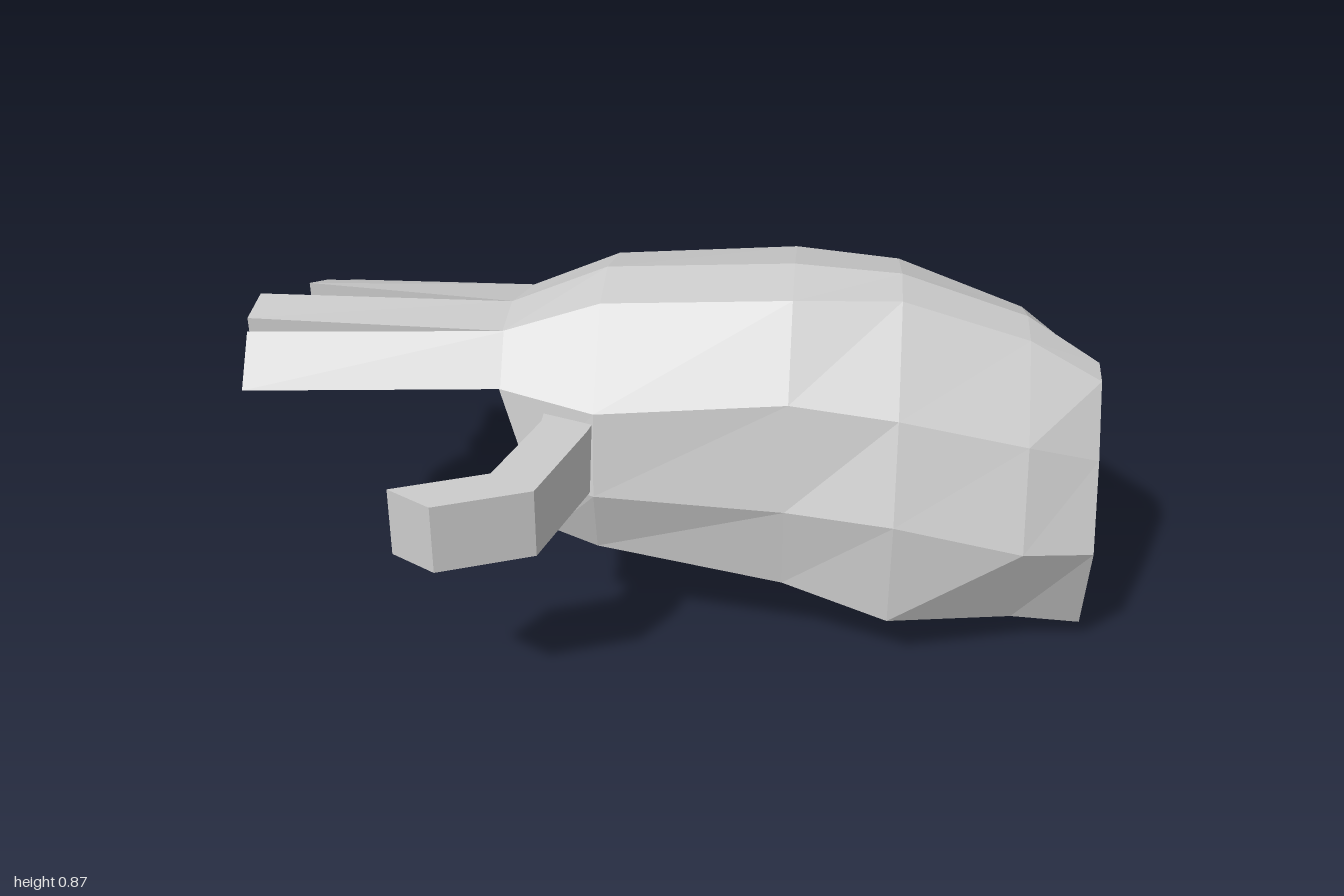
import * as THREE from 'three';

const material = new THREE.MeshStandardMaterial({ color: 0xcccccc, flatShading: true });

// Skins a list of rings of [x, y, z] points, running from -x to +x, and caps both ends.
function loft(name, rings) {
  const pos = [];
  const n = rings[0].length;
  const tri = (a, b, c) => pos.push(...a, ...b, ...c);
  const middle = (ring) => [0, 1, 2].map((k) => ring.reduce((s, p) => s + p[k], 0) / n);
  const first = rings[0];
  const last = rings[rings.length - 1];
  const c0 = middle(first);
  const c1 = middle(last);
  for (let j = 0; j < n; j++) {
    const k = (j + 1) % n;
    for (let i = 0; i + 1 < rings.length; i++) {
      const a = rings[i];
      const b = rings[i + 1];
      tri(a[j], b[j], b[k]);
      tri(a[j], b[k], a[k]);
    }
    tri(c0, first[j], first[k]);
    tri(c1, last[k], last[j]);
  }
  const geo = new THREE.BufferGeometry();
  geo.setAttribute('position', new THREE.Float32BufferAttribute(pos, 3));
  geo.computeVertexNormals();
  const mesh = new THREE.Mesh(geo, material);
  mesh.name = name;
  return mesh;
}

// Places a flat [z, y] outline at one x.
const section = (x, outline) => outline.map(([z, y]) => [x, y, z]);

// Finger from a tip outline to a root outline that is sunk into the palm.
function finger(name, tipX, tip, root) {
  return loft(name, [section(tipX, tip), section(-0.38, root), section(-0.32, root)]);
}

export function createModel() {
  const group = new THREE.Group();
  group.name = 'handAndForearm';

  // Palm and forearm: the slanted knuckle ring first, then upright rings.
  const knuckles = [
    [-0.39, 0.74, 0.05], [-0.39, 0.75, -0.09], [-0.37, 0.7, -0.295], [-0.37, 0.57, -0.44],
    [-0.29, 0.45, -0.5], [-0.28, 0.32, -0.41], [-0.27, 0.24, -0.1], [-0.27, 0.28, 0.17],
    [-0.32, 0.43, 0.18], [-0.39, 0.63, 0.13],
  ];
  const wrist = [[0.05, 0.82], [-0.1, 0.845], [-0.35, 0.77], [-0.52, 0.59], [-0.565, 0.46],
    [-0.44, 0.26], [-0.1, 0.18], [0.19, 0.25], [0.245, 0.42], [0.215, 0.62]];
  const lower = [[0.04, 0.84], [-0.1, 0.87], [-0.36, 0.8], [-0.565, 0.57], [-0.605, 0.48],
    [-0.48, 0.2], [-0.08, 0.1], [0.22, 0.19], [0.245, 0.4], [0.19, 0.65]];
  const bulge = [[0.0, 0.83], [-0.11, 0.85], [-0.33, 0.79], [-0.53, 0.59], [-0.595, 0.43],
    [-0.48, 0.18], [-0.07, 0.04], [0.27, 0.13], [0.275, 0.39], [0.19, 0.62]];
  const upper = [[-0.015, 0.735], [-0.115, 0.75], [-0.25, 0.71], [-0.42, 0.57], [-0.5, 0.34],
    [-0.41, 0.125], [-0.06, 0.012], [0.16, 0.085], [0.255, 0.32], [0.16, 0.55]];
  const cut = [[0.0, 0.645], [-0.065, 0.66], [-0.155, 0.61], [-0.26, 0.49], [-0.325, 0.29],
    [-0.3, 0.13], [-0.055, 0.0], [0.12, 0.05], [0.19, 0.29], [0.1, 0.49]];
  group.add(loft('forearm', [
    knuckles, section(-0.16, wrist), section(0.28, lower),
    section(0.53, bulge), section(0.83, upper), section(1, cut),
  ]));

  // Four fingers fanned along the curve of the knuckles.
  group.add(
    finger('indexFinger', -0.98,
      [[0.105, 0.74], [0.1, 0.61], [0.19, 0.63]],
      [[0.05, 0.74], [0.05, 0.61], [0.13, 0.63]]),
    finger('middleFinger', -1,
      [[0.035, 0.74], [-0.08, 0.75], [-0.08, 0.62], [0.03, 0.61]],
      [[0.05, 0.74], [-0.09, 0.75], [-0.09, 0.62], [0.04, 0.61]]),
    finger('ringFinger', -0.905,
      [[-0.17, 0.74], [-0.32, 0.68], [-0.32, 0.57], [-0.175, 0.6]],
      [[-0.09, 0.75], [-0.295, 0.7], [-0.295, 0.59], [-0.1, 0.62]]),
    finger('littleFinger', -0.865,
      [[-0.39, 0.65], [-0.54, 0.53], [-0.39, 0.525]],
      [[-0.295, 0.7], [-0.44, 0.57], [-0.3, 0.57]]),
  );

  // Bent thumb, an upright slab along an [x, z] outline.
  const outline = [[-0.28, 0.15], [-0.15, 0.15], [-0.17, 0.25], [-0.25, 0.515],
    [-0.46, 0.6], [-0.565, 0.535], [-0.355, 0.45], [-0.28, 0.21]];
  const shape = new THREE.Shape(outline.map(([x, z]) => new THREE.Vector2(x, -z)));
  const thumbGeo = new THREE.ExtrudeGeometry(shape, { depth: 0.165, bevelEnabled: false });
  thumbGeo.rotateX(-Math.PI / 2).translate(0, 0.43, 0);
  const thumb = new THREE.Mesh(thumbGeo, material);
  thumb.name = 'thumb';
  group.add(thumb);

  return group;
}
